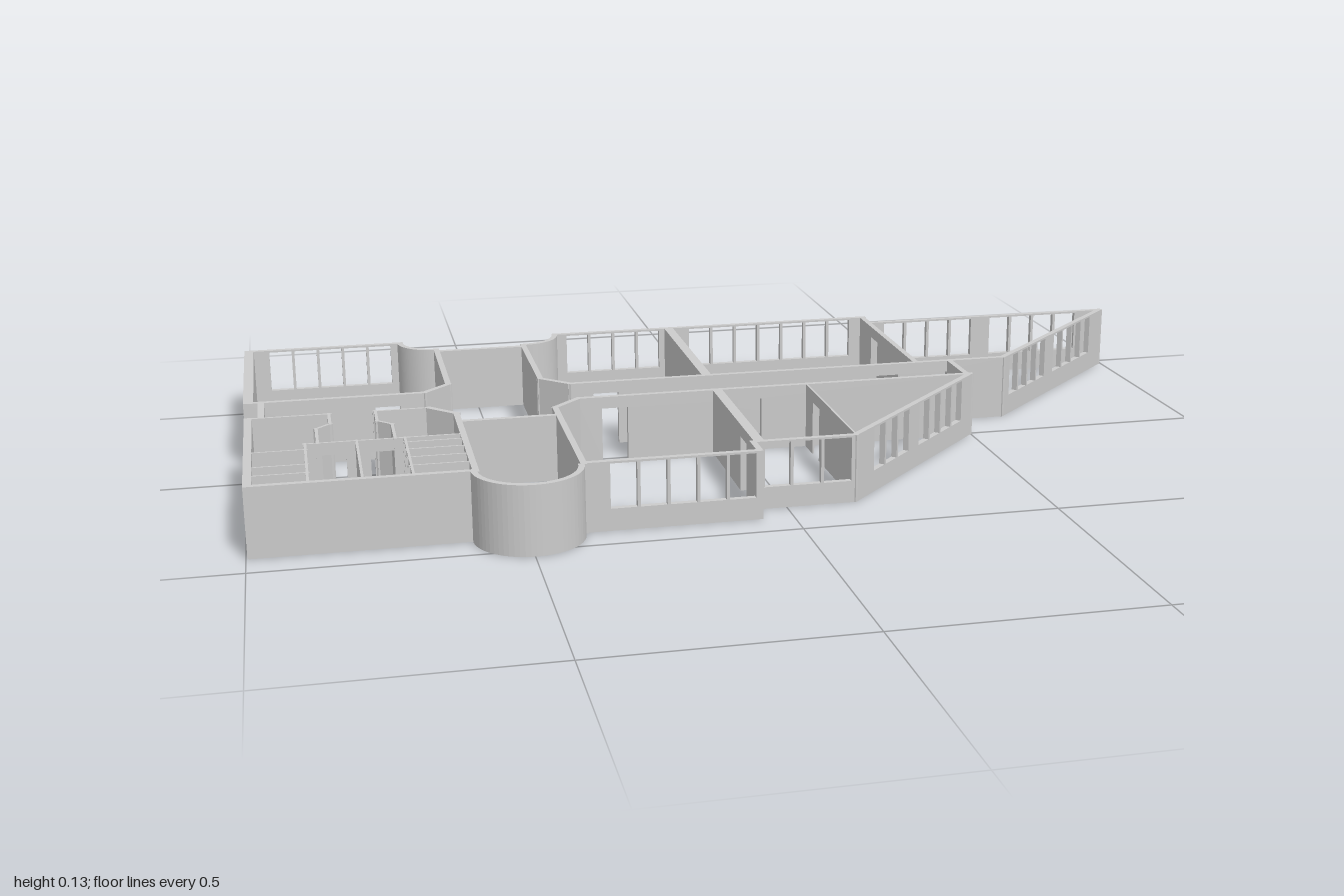
import * as THREE from 'three';

const H = 0.134;          // wall height
const SILL = 0.043, HEAD = 0.13, DOOR = 0.11, T = 0.012;

export function createModel() {
  const model = new THREE.Group();
  const mat = new THREE.MeshStandardMaterial({ color: 0xcccccc, flatShading: true });
  const smooth = new THREE.MeshStandardMaterial({ color: 0xcccccc });

  // A row of n equal windows between distances a and b along a wall
  const panes = (a, b, n) => Array.from({ length: n }, (_, i) => {
    const w = (b - a) / n;
    return [a + i * w + 0.003, a + (i + 1) * w - 0.003];
  });

  // Straight wall between two plan points, with door notches and window holes
  function wall(name, [x1, z1], [x2, z2], { t = T, doors = [], windows = [], h = H } = {}) {
    const len = Math.hypot(x2 - x1, z2 - z1), e = T / 2 - 0.001;
    const s = new THREE.Shape();
    s.moveTo(-e, 0);
    for (const [a, b] of doors) {
      s.lineTo(a, 0); s.lineTo(a, DOOR); s.lineTo(b, DOOR); s.lineTo(b, 0);
    }
    s.lineTo(len + e, 0); s.lineTo(len + e, h); s.lineTo(-e, h); s.closePath();
    for (const [a, b] of windows) {
      const p = new THREE.Path();
      p.moveTo(a, SILL); p.lineTo(a, HEAD); p.lineTo(b, HEAD); p.lineTo(b, SILL); p.closePath();
      s.holes.push(p);
    }
    const geo = new THREE.ExtrudeGeometry(s, { depth: t, bevelEnabled: false });
    geo.translate(0, 0, -t / 2);
    const mesh = new THREE.Mesh(geo, mat);
    mesh.name = name;
    mesh.position.set(x1, 0, z1);
    mesh.rotation.y = Math.atan2(z1 - z2, x2 - x1);
    model.add(mesh);
  }

  // Chain of plain walls through plan points
  const chain = (name, pts, opt) => pts.slice(1).forEach((p, i) => wall(name, pts[i], p, opt));

  // Curved wall, angles measured from +x towards +z
  function curvedWall(name, cx, cz, r, a0, a1) {
    const s = new THREE.Shape();
    s.absarc(cx, cz, r + T / 2, a0, a1, false);
    s.absarc(cx, cz, r - T / 2, a1, a0, true);
    s.closePath();
    const geo = new THREE.ExtrudeGeometry(s, { depth: H, bevelEnabled: false, curveSegments: 16 });
    geo.rotateX(Math.PI / 2).translate(0, H, 0);
    const mesh = new THREE.Mesh(geo, smooth);
    mesh.name = name;
    model.add(mesh);
  }

  // Back left room
  wall('backLeftRoomWindows', [-0.99, -0.53], [-0.66, -0.53], { windows: panes(0.04, 0.31, 5) });
  wall('backLeftRoomOuterWall', [-0.99, -0.53], [-0.99, -0.11], { t: 0.02 });
  wall('backLeftRoomCorridorWall', [-0.99, -0.11], [-0.64, -0.11], { doors: [[0.25, 0.3]] });
  chain('backLeftRoomInnerWall', [[-0.64, -0.11], [-0.587, -0.163], [-0.587, -0.455]]);

  // Rear entrance niche
  curvedWall('rearCurve', -0.587, -0.53, 0.075, Math.PI / 2, Math.PI);
  curvedWall('rearCurve', -0.39, -0.53, 0.075, 0, Math.PI / 2);
  wall('rearHallWall', [-0.587, -0.44], [-0.395, -0.44]);

  // Back middle rooms
  chain('backMiddleInnerWall', [[-0.395, -0.455], [-0.395, -0.163], [-0.34, -0.11]]);
  wall('backWindowWall', [-0.315, -0.53], [0.418, -0.53],
    { windows: [...panes(0.025, 0.245, 4), ...panes(0.31, 0.7, 7)] });
  wall('backPartition', [-0.05, -0.53], [-0.05, -0.11], { t: 0.02 });
  wall('backEndPartition', [0.415, -0.53], [0.412, -0.11], { doors: [[0.1, 0.15]] });

  // Back triangular room
  wall('backTriangleWindows', [0.418, -0.475], [0.99, -0.475],
    { windows: [...panes(0.03, 0.25, 4), ...panes(0.29, 0.51, 4)] });
  wall('backTriangleDiagonal', [0.99, -0.475], [0.61, -0.11],
    { windows: [...panes(0.065, 0.275, 4), ...panes(0.315, 0.505, 4)] });

  // Corridor
  wall('corridorBackWall', [-0.34, -0.11], [0.61, -0.11],
    { doors: [[0.047, 0.1], [0.66, 0.71], [0.79, 0.84]] });
  wall('corridorFrontWall', [-0.34, 0.003], [0.495, 0.003],
    { doors: [[0.047, 0.1], [0.33, 0.38]] });
  wall('corridorRightEnd', [-0.965, -0.11], [-0.965, 0]);
  wall('corridorLeftEnd', [0.487, -0.11], [0.487, 0]);

  // Washrooms
  wall('washroomOuterWall', [-0.99, 0.003], [-0.99, 0.425], { t: 0.015 });
  wall('washroomFrontWall', [-0.99, 0.425], [-0.595, 0.425]);
  chain('washroomEntryRight', [[-0.99, 0.003], [-0.835, 0.003], [-0.835, 0.072], [-0.862, 0.1], [-0.862, 0.195]], { t: 0.006 });
  chain('washroomEntryLeft', [[-0.64, 0.003], [-0.745, 0.003], [-0.745, 0.072], [-0.718, 0.1], [-0.718, 0.195]], { t: 0.006 });
  chain('washroomInnerWall', [[-0.64, 0.003], [-0.59, 0.055], [-0.59, 0.43]]);
  wall('washroomCrossWall', [-0.885, 0.195], [-0.595, 0.195], { t: 0.005, doors: [[0.03, 0.075], [0.12, 0.165]] });
  for (const x of [-0.885, -0.79, -0.7])
    wall('washroomPartition', [x, 0.195], [x, 0.425], { t: 0.005 });
  for (const z of [0.23, 0.32, 0.37])
    wall('stallDividerRight', [-0.985, z], [-0.885, z], { t: 0.004 });
  for (const z of [0.225, 0.27, 0.32, 0.37])
    wall('stallDividerLeft', [-0.7, z], [-0.595, z], { t: 0.004 });

  // Front hall with round bay
  wall('frontHallWall', [-0.587, 0.11], [-0.395, 0.11]);
  chain('frontHallSideWall', [[-0.34, 0.003], [-0.395, 0.058], [-0.395, 0.43]]);
  curvedWall('roundBay', -0.497, 0.43, 0.097, 0, Math.PI);

  // Front middle room
  wall('frontRoomWindows', [-0.395, 0.425], [-0.065, 0.425], { windows: panes(0.045, 0.325, 5) });
  wall('frontRoomReturn', [-0.065, 0.37], [-0.065, 0.425]);
  wall('frontPartition', [-0.053, 0.003], [-0.053, 0.37], { t: 0.02, doors: [[0.257, 0.307]] });

  // Front triangular room
  wall('frontTriangleWindows', [-0.06, 0.37], [0.135, 0.37], { windows: panes(0.01, 0.19, 3) });
  wall('frontTriangleDiagonal', [0.135, 0.37], [0.495, 0.003],
    { windows: [...panes(0.065, 0.22, 3), ...panes(0.26, 0.465, 4)] });
  wall('frontTrianglePartition', [0.137, 0.003], [0.137, 0.37], { t: 0.004, doors: [[0.06, 0.11]] });

  return model;
}
